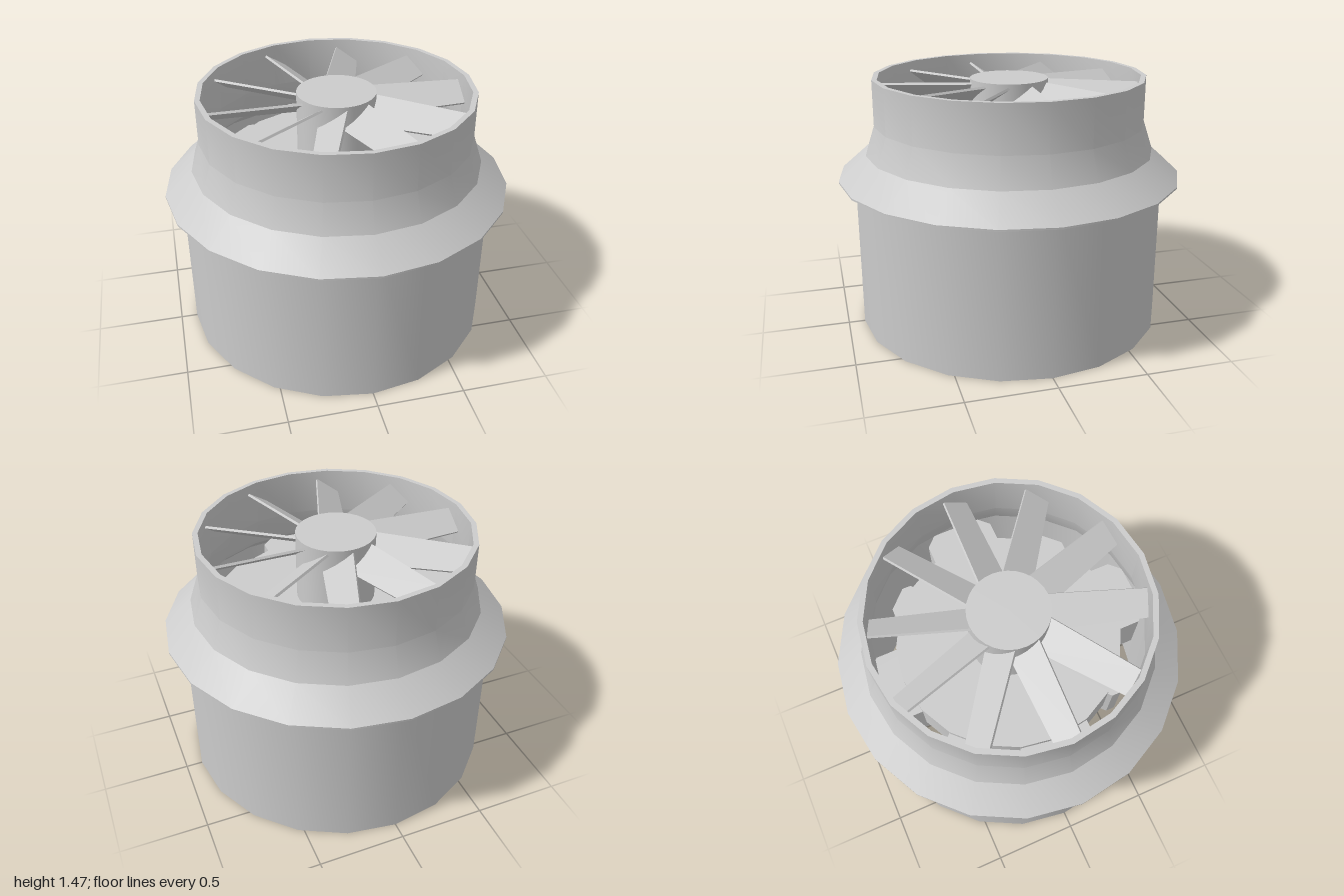
import * as THREE from 'three';
import { toCreasedNormals } from 'three/addons/utils/BufferGeometryUtils.js';

const grey = new THREE.MeshStandardMaterial({ color: 0xcccccc, side: THREE.DoubleSide });

// Smooth around the axis, sharp at strong profile bends
function lathe(name, profile, sides) {
  const points = profile.map(([r, y]) => new THREE.Vector2(r, y));
  const geometry = toCreasedNormals(new THREE.LatheGeometry(points, sides), 0.42);
  const mesh = new THREE.Mesh(geometry, grey);
  mesh.name = name;
  return mesh;
}

// Horizontal plate with chamfered outer corners, reaching out along +x
function lobeGeometry(inner, outer, halfWidth, chamfer, height) {
  const s = new THREE.Shape();
  s.moveTo(inner, -halfWidth);
  s.lineTo(outer - chamfer, -halfWidth);
  s.lineTo(outer, -halfWidth + chamfer);
  s.lineTo(outer, halfWidth - chamfer);
  s.lineTo(outer - chamfer, halfWidth);
  s.lineTo(inner, halfWidth);
  s.closePath();
  const g = new THREE.ExtrudeGeometry(s, { depth: height, bevelEnabled: false });
  return g.rotateX(-Math.PI / 2);
}

// Pitched fan blade along +x, narrowing towards the tip
function bladeGeometry() {
  const g = new THREE.BoxGeometry(0.56, 0.014, 0.2);
  const p = g.attributes.position;
  for (let i = 0; i < p.count; i++) {
    if (p.getX(i) > 0) p.setZ(i, p.getZ(i) * 0.8);
  }
  g.rotateX(0.6);
  g.translate(0.465, 0, 0);
  g.computeVertexNormals();
  return g;
}

export function createModel() {
  const model = new THREE.Group();
  model.name = 'ductedFan';

  // Open lower casing
  model.add(lathe('lowerCasing', [
    [0.885, 0], [0.905, 0], [0.905, 0.96], [0.885, 0.96], [0.885, 0],
  ], 20));

  // Flared upper cowl with a thin wall
  model.add(lathe('upperCowl', [
    [0.97, 0.885], [1, 0.885], [1, 0.895], [0.84, 1.035], [0.785, 1.2], [0.785, 1.465],
    [0.755, 1.465], [0.755, 1.2], [0.81, 1.02], [0.97, 0.885],
  ], 20));

  // Core body, with an exhaust ring and hollow nozzle
  model.add(lathe('core', [
    [0, 0.5], [0.43, 0.5], [0.45, 0.1], [0.465, 0.1], [0.465, 0], [0.475, 0], [0.475, 0.1],
    [0.45, 0.11], [0.47, 0.2], [0.5, 0.44], [0.55, 0.62], [0.64, 0.8], [0.64, 1.05], [0, 1.05],
  ], 20));

  // Four broad struts holding the core, four narrow lobes between them
  const strut = lobeGeometry(0.3, 0.79, 0.2, 0.06, 0.3);
  const lobe = lobeGeometry(0.3, 0.695, 0.105, 0.035, 0.3);
  for (let i = 0; i < 8; i++) {
    const mesh = new THREE.Mesh(i % 2 ? lobe : strut, grey);
    mesh.name = i % 2 ? 'coreLobe' : 'coreStrut';
    mesh.position.y = 0.72;
    mesh.rotation.y = i * Math.PI / 4;
    model.add(mesh);
  }

  // Fan: hub and ten pitched blades
  const fan = new THREE.Group();
  fan.name = 'fan';
  fan.add(lathe('fanHub', [[0.225, 1.04], [0.225, 1.445], [0, 1.445]], 32));
  const blade = bladeGeometry();
  for (let i = 0; i < 10; i++) {
    const mesh = new THREE.Mesh(blade, grey);
    mesh.name = 'fanBlade';
    mesh.position.y = 1.365;
    mesh.rotation.y = i * Math.PI / 5;
    fan.add(mesh);
  }
  model.add(fan);

  return model;
}
